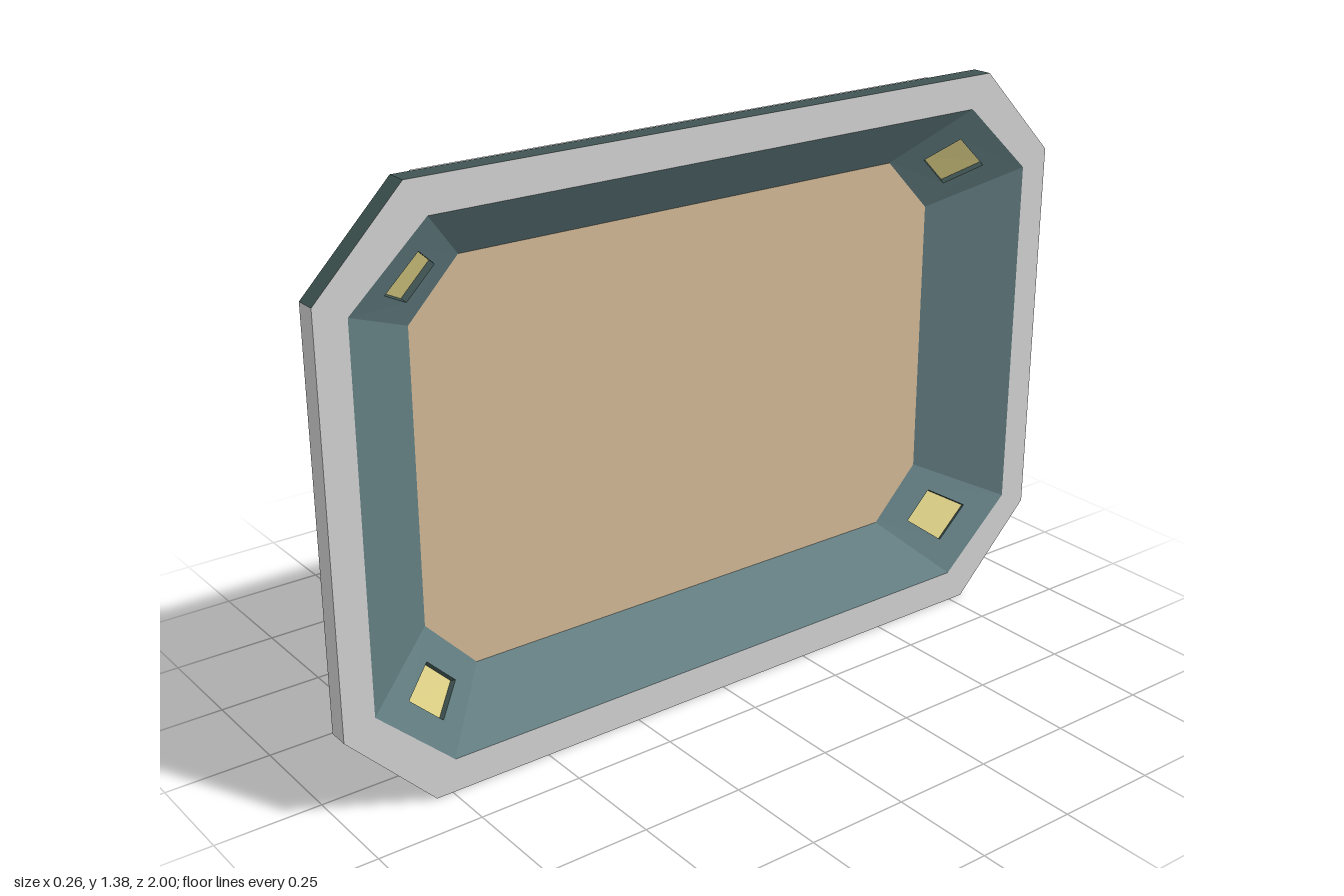
import * as THREE from 'three';

const makeMat = (name, color) => {
  const m = new THREE.MeshStandardMaterial({ color });
  m.name = name;
  return m;
};

// Flat-faced mesh from convex polygons (counter-clockwise from outside)
function polyMesh(name, material, polys) {
  const pos = [];
  for (const p of polys) {
    for (let i = 1; i < p.length - 1; i++) {
      const [a, b, c] = [p[0], p[i], p[i + 1]];
      const n = b.clone().sub(a).cross(c.clone().sub(a));
      if (n.length() < 1e-7) continue;
      for (const v of [a, b, c]) pos.push(v.x, v.y, v.z);
    }
  }
  const g = new THREE.BufferGeometry();
  g.setAttribute('position', new THREE.Float32BufferAttribute(pos, 3));
  g.computeVertexNormals();
  const mesh = new THREE.Mesh(g, material);
  mesh.name = name;
  return mesh;
}

// Quads joining two rings of equal length
const loft = (a, b) => a.map((p, i) => {
  const j = (i + 1) % a.length;
  return [p, a[j], b[j], b[i]];
});

// Chamfered rectangle at depth x; sides run: top, corner, left end, corner, bottom...
const octagon = (x, hz, hy, cz, cy) => [
  [hy, cz - hz], [hy, hz - cz], [hy - cy, hz], [cy - hy, hz],
  [-hy, hz - cz], [-hy, cz - hz], [cy - hy, -hz], [hy - cy, -hz],
].map(([y, z]) => new THREE.Vector3(x, 0.69 + y, z));

const rect = (y, hx, hz) => [[1, 1], [1, -1], [-1, -1], [-1, 1]]
  .map(([sx, sz]) => new THREE.Vector3(sx * hx, y, sz * hz));

export function createModel() {
  const grey = makeMat('light grey', 0xd0cfcf);
  const green = makeMat('dark green', 0x405553);
  const teal = makeMat('teal', 0x627d81);
  const tan = makeMat('tan', 0xceb594);
  const yellow = makeMat('pale yellow', 0xe0d388);

  const model = new THREE.Group();
  model.name = 'wallPanel';

  // Outer shell
  const back = octagon(-0.13, 0.79, 0.475, 0, 0);
  const rimBack = octagon(0.08, 1, 0.69, 0.21, 0.215);
  const rimFront = octagon(0.13, 1, 0.69, 0.21, 0.215);
  const opening = octagon(0.13, 0.925, 0.61, 0.185, 0.17);
  const floor = octagon(0, 0.725, 0.475, 0.125, 0.13);
  const sides = [loft(back, rimBack), loft(rimBack, rimFront)];
  const isGreen = (i) => i === 0 || i % 2 === 1;
  const pick = (test) => sides.flatMap((s) => s.filter((_, i) => test(i)));
  model.add(
    polyMesh('cornersAndTop', green, pick(isGreen)),
    polyMesh('sidesAndBottom', grey, pick((i) => !isGreen(i))),
    polyMesh('backPlate', grey, [[...back].reverse()]),
    polyMesh('frontRim', grey, loft(rimFront, opening)),
    polyMesh('recessFloor', tan, [floor]),
  );

  // Recess walls, with a pocketed lamp in each corner
  const walls = loft(opening, floor);
  model.add(polyMesh('recessWalls', teal, walls.filter((_, i) => i % 2 === 0)));
  walls.filter((_, i) => i % 2 === 1).forEach((w) => {
    const at = (u, v) => w[0].clone().lerp(w[1], u)
      .lerp(w[3].clone().lerp(w[2], u), v);
    const hole = [at(0.26, 0.29), at(0.74, 0.29), at(0.74, 0.71), at(0.26, 0.71)];
    const normal = w[1].clone().sub(w[0]).cross(w[3].clone().sub(w[0])).normalize();
    const sunk = hole.map((p) => p.clone().addScaledVector(normal, -0.015));
    const corner = new THREE.Group();
    corner.name = 'cornerLamp';
    corner.add(
      polyMesh('cornerWall', teal, loft(w, hole)),
      polyMesh('lampPocket', green, loft(hole, sunk)),
      polyMesh('lamp', yellow, [sunk]),
    );
    model.add(corner);
  });

  // Raised light bar on the sloping top
  const bar = new THREE.Group();
  bar.name = 'topLightBar';
  const base = rect(0, 0.106, 0.735);
  const top = rect(0.04, 0.083, 0.705);
  const slot = rect(0.04, 0.036, 0.66);
  const slotFloor = rect(0.02, 0.036, 0.66);
  bar.add(
    polyMesh('barHousing', grey, [
      ...loft(base, top), ...loft(top, slot), ...loft(slot, slotFloor),
    ]),
    polyMesh('barLight', yellow, [slotFloor]),
  );
  bar.position.set(-0.025, 1.2725, 0);
  bar.rotation.z = Math.PI / 4;
  model.add(bar);

  return model;
}
